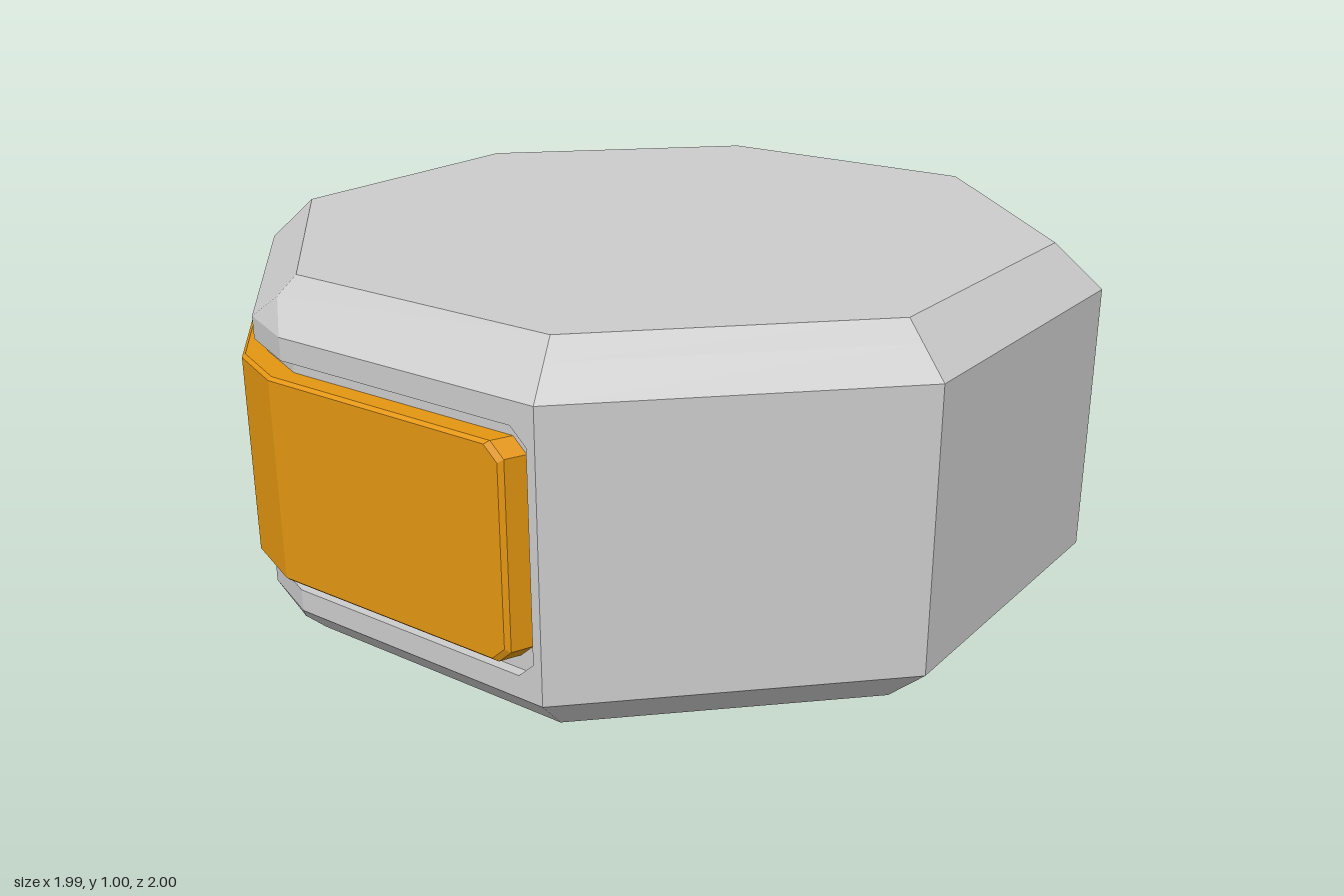
import * as THREE from 'three';

const material = (color) => new THREE.MeshStandardMaterial({ color, flatShading: true });
const grey = material(0xcccccc);
const orange = material(0xe39612);
const blue = material(0x74c2e6);

function mesh(name, geometry, mat) {
  const m = new THREE.Mesh(geometry, mat);
  m.name = name;
  return m;
}

// Collects quads (corners counter-clockwise) into one faceted geometry
function quadBuilder() {
  const pos = [];
  const quad = (a, b, c, d) => pos.push(...a, ...b, ...c, ...a, ...c, ...d);
  const strip = (a, b, skip = []) => a.forEach((p, i) => {
    const j = (i + 1) % a.length;
    if (!skip.includes(i)) quad(p, a[j], b[j], b[i]);
  });
  const build = () => {
    const g = new THREE.BufferGeometry();
    g.setAttribute('position', new THREE.Float32BufferAttribute(pos, 3));
    g.computeVertexNormals();
    return g;
  };
  return { quad, strip, build };
}

const BEND = 0.085; // half width of the narrow facet at each side
const SIDE_X = 0.965;
const CORNER = Math.SQRT1_2;

// Octagonal outline at height y; the two side corners can be cut flat
function bodyRing(y, r, bend = 0) {
  const c = r * CORNER;
  const x = bend ? SIDE_X : r;
  const half = [[0, r], [c, c], [x, bend], [x, -bend], [c, -c]];
  return [...half, ...half.map(([px, pz]) => [-px, -pz])].map(([px, pz]) => [px, y, pz]);
}

// Chamfered rectangle wrapped around the three facets of the +x side
function sideLoop(w, y0, y1, c, offset) {
  const outline = [
    [w, y0 + c], [w, y1 - c], [w - c, y1], [BEND, y1], [-BEND, y1], [c - w, y1],
    [-w, y1 - c], [-w, y0 + c], [c - w, y0], [-BEND, y0], [BEND, y0], [w - c, y0],
  ];
  return outline.map(([z, y]) => {
    const t = Math.max(0, (Math.abs(z) - BEND) / (CORNER - BEND));
    return [SIDE_X + (CORNER - SIDE_X) * t + offset, y, z];
  });
}

// Fills a side loop with vertical columns of quads
function capLoop(builder, loop) {
  const columns = [[0, 1], [11, 2], [10, 3], [9, 4], [8, 5], [7, 6]];
  for (let i = 0; i < 5; i++) {
    const [l0, l1] = columns[i];
    const [r0, r1] = columns[i + 1];
    builder.quad(loop[l0], loop[r0], loop[r1], loop[l1]);
  }
}

function bodyGeometry() {
  const b = quadBuilder();
  const rings = [
    bodyRing(0.18, 0.89), bodyRing(0.22, 0.934), bodyRing(0.28, 1, BEND),
    bodyRing(0.9, 1, BEND), bodyRing(0.96, 0.934), bodyRing(1, 0.89),
  ];
  // The upright side facets are left open for the recessed walls
  for (let i = 0; i < 5; i++) b.strip(rings[i], rings[i + 1], i === 2 ? [1, 2, 3, 6, 7, 8] : []);
  b.strip(rings[5], rings[5].map(() => [0, 1, 0]));
  b.strip(rings[0].map(() => [0, 0.18, 0]), rings[0]);
  return b.build();
}

function recessGeometry() {
  const b = quadBuilder();
  const edge = sideLoop(CORNER, 0.28, 0.9, 0, 0);
  const rim = sideLoop(0.688, 0.33, 0.85, 0.035, 0);
  const floor = sideLoop(0.688, 0.33, 0.85, 0.035, -0.025);
  b.strip(rim, edge);
  b.strip(floor, rim);
  capLoop(b, floor);
  return b.build();
}

function panelGeometry() {
  const b = quadBuilder();
  const base = sideLoop(0.662, 0.36, 0.82, 0.03, -0.025);
  const shoulder = sideLoop(0.662, 0.36, 0.82, 0.03, 0.022);
  const face = sideLoop(0.655, 0.367, 0.813, 0.03, 0.03);
  b.strip(shoulder, base);
  b.strip(face, shoulder);
  capLoop(b, face);
  return b.build();
}

// Eight-sided turned part from [radius, height] points, bottom to top outside
const turned = (points) =>
  new THREE.LatheGeometry(points.map(([r, y]) => new THREE.Vector2(r, y)), 8);

export function createModel() {
  const model = new THREE.Group();
  model.name = 'octagonalDevice';
  model.add(mesh('body', bodyGeometry(), grey));

  // Recessed wall and wraparound panel on both sides
  const recess = recessGeometry();
  const panel = panelGeometry();
  for (const [name, turn] of [['left', 0], ['right', Math.PI]]) {
    const side = new THREE.Group();
    side.name = `${name}Side`;
    side.rotation.y = turn;
    side.add(mesh('recessedWall', recess, grey), mesh('sidePanel', panel, orange));
    model.add(side);
  }

  // Stepped base under the body
  model.add(mesh('baseRing', turned([[0.665, 0.18], [0.665, 0.14], [0.715, 0.14], [0.715, 0.18]]), grey));
  model.add(mesh('baseCup', turned([[0, 0.04], [0.37, 0.04], [0.56, 0.11], [0.56, 0.18]]), grey));
  model.add(mesh('lens', turned([[0, 0], [0.34, 0], [0.34, 0.04], [0, 0.04]]), blue));
  return model;
}
